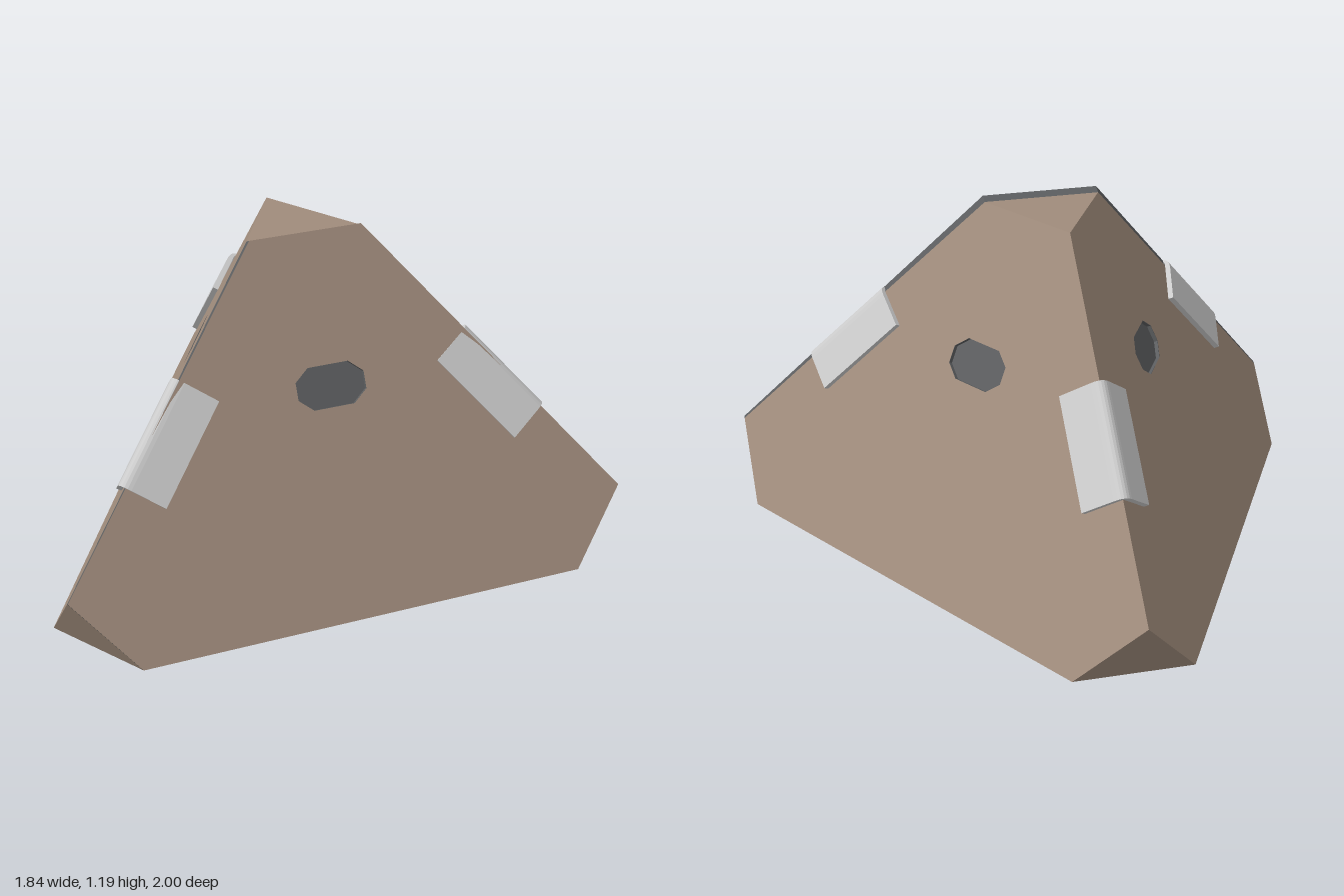
import * as THREE from 'three';

const R = 1.15, BASE = 0.69, TOP = 0.23, H = 1.175, MID = 0.235; // radii from the axis and heights
const SLOPE = (BASE - TOP / 2) / H;
const LEN = Math.hypot(1, SLOPE); // slant length per unit of height
const S3 = Math.sqrt(3) / 2, THIRD = (Math.PI * 2) / 3;

const mat = (color) => new THREE.MeshStandardMaterial({ color, flatShading: true, side: THREE.DoubleSide });
const brown = mat(0xa08c7c), dark = mat(0x5c5e60), metal = mat(0xcccccc);

function mesh(name, geometry, material) {
  const m = new THREE.Mesh(geometry, material);
  m.name = name;
  return m;
}

// flat convex polygon drawn as a triangle fan
function polygon(points) {
  const g = new THREE.BufferGeometry().setFromPoints(points);
  const index = [];
  for (let i = 1; i < points.length - 1; i++) index.push(0, i, i + 1);
  g.setIndex(index);
  g.computeVertexNormals();
  return g;
}

// group whose z axis points along the given direction, x axis horizontal
function frame(y, z, position) {
  const g = new THREE.Group();
  const x = new THREE.Vector3().crossVectors(y, z);
  g.quaternion.setFromRotationMatrix(new THREE.Matrix4().makeBasis(x, y, z));
  g.position.copy(position);
  return g;
}

const v2 = (x, y) => new THREE.Vector2(x, y);
const v3 = (x, y, z) => new THREE.Vector3(x, y, z);

// hexagonal outline of a sloping face, measured up the slope
const outline = [
  v2(-0.79, 0), v2(0.79, 0), v2(R * S3, MID * LEN),
  v2(TOP * S3, H * LEN), v2(-TOP * S3, H * LEN), v2(-R * S3, MID * LEN),
];

function octagon(grow = 1) {
  const w = 0.122 * grow, h = 0.072 * grow, cx = 0.05, cy = 0.042, c = 0.71 * LEN;
  return [
    v2(-w + cx, c - h), v2(w - cx, c - h), v2(w, c - h + cy), v2(w, c + h - cy),
    v2(w - cx, c + h), v2(-w + cx, c + h), v2(-w, c + h - cy), v2(-w, c - h + cy),
  ];
}

// sloping panel with a recessed hand hold
function panel(name) {
  const g = new THREE.Group();
  g.name = name;
  const face = new THREE.Shape(outline);
  face.holes.push(new THREE.Path(octagon()));
  g.add(mesh('panelFace', new THREE.ShapeGeometry(face), brown));
  const rim = new THREE.Shape(octagon(1.06));
  rim.holes.push(new THREE.Path(octagon()));
  const wall = new THREE.ExtrudeGeometry(rim, { depth: 0.015, bevelEnabled: false });
  wall.translate(0, 0, -0.016);
  g.add(mesh('handHoldWall', wall, dark));
  const floor = new THREE.ShapeGeometry(new THREE.Shape(octagon(1.06)));
  floor.translate(0, 0, -0.014);
  g.add(mesh('handHoldFloor', floor, dark));
  return g;
}

// dark seam between the body and the slightly raised front panel
function seam(lid) {
  const g = new THREE.Group();
  g.name = 'frontPanelSeam';
  lid.updateMatrix();
  const low = outline.map((p) => v3(p.x, p.y, 0));
  const high = low.map((p) => p.clone().applyMatrix4(lid.matrix));
  low.forEach((p, i) => {
    const j = (i + 1) % low.length;
    g.add(mesh('seamStrip', polygon([p, low[j], high[j], high[i]]), dark));
  });
  return g;
}

// bent metal angle with a rounded ridge
function clipGeometry() {
  const at = (s, o, side) => v2(side * (0.629 * s + 0.778 * o), -0.778 * s + 0.629 * o);
  const shape = new THREE.Shape();
  const start = at(0.15, 0.022, 1), a = at(0.02, 0.022, 1), b = at(0.02, 0.022, -1);
  shape.moveTo(start.x, start.y);
  shape.lineTo(a.x, a.y);
  shape.quadraticCurveTo(0, 0.035, b.x, b.y);
  for (const p of [at(0.15, 0.022, -1), at(0.15, 0.003, -1), v2(0, 0.005), at(0.15, 0.003, 1)]) shape.lineTo(p.x, p.y);
  return new THREE.ExtrudeGeometry(shape, { depth: 0.39, bevelEnabled: false, curveSegments: 6 });
}

export function createModel() {
  const model = new THREE.Group();
  model.name = 'cutCornerPyramid';
  const body = new THREE.Group();
  body.name = 'body';
  body.position.x = -0.23;
  model.add(body);

  const faceUp = v3(-SLOPE, 1, 0).normalize(), faceOut = v3(1, SLOPE, 0).normalize();
  const along = v3(R - TOP, MID - H, 0).normalize(), edgeOut = v3(-along.y, along.x, 0);
  const cornerX = BASE / 2 + 0.79 * S3, cornerZ = BASE * S3 - 0.79 / 2;
  const clip = clipGeometry();
  const names = ['backPanel', 'leftSidePanel', 'frontPanel'];
  const base = [], top = [];

  for (let i = 0; i < 3; i++) {
    // edge side: cut corner and clip
    const edge = new THREE.Group();
    edge.name = 'edge';
    edge.rotation.y = i * THIRD;
    const corner = [v3(R, MID, 0), v3(cornerX, 0, cornerZ), v3(cornerX, 0, -cornerZ)];
    edge.add(mesh('cutCorner', polygon(corner), brown));
    const holder = frame(edgeOut, along, v3(0.59, H - (0.59 - TOP) * (H - MID) / (R - TOP), 0));
    holder.add(mesh('edgeClip', clip, metal));
    edge.add(holder);
    body.add(edge);
    const axis = v3(0, 1, 0);
    base.push(...[corner[1], corner[2]].map((p) => p.clone().applyAxisAngle(axis, i * THIRD)));
    top.push(v3(TOP, H, 0).applyAxisAngle(axis, i * THIRD));

    // sloping face: the front one stands slightly open
    const side = new THREE.Group();
    side.name = 'slopingSide';
    side.rotation.y = Math.PI / 3 + i * THIRD;
    const plane = frame(faceUp, faceOut, v3(BASE, 0, 0));
    const p = panel(names[i]);
    if (i === 2) {
      p.rotation.x = 0.02;
      p.position.z = 0.004;
      plane.add(seam(p));
    }
    plane.add(p);
    side.add(plane);
    body.add(side);
  }
  body.add(mesh('base', polygon(base.reverse()), brown));
  body.add(mesh('flatTop', polygon(top), brown));
  return model;
}
